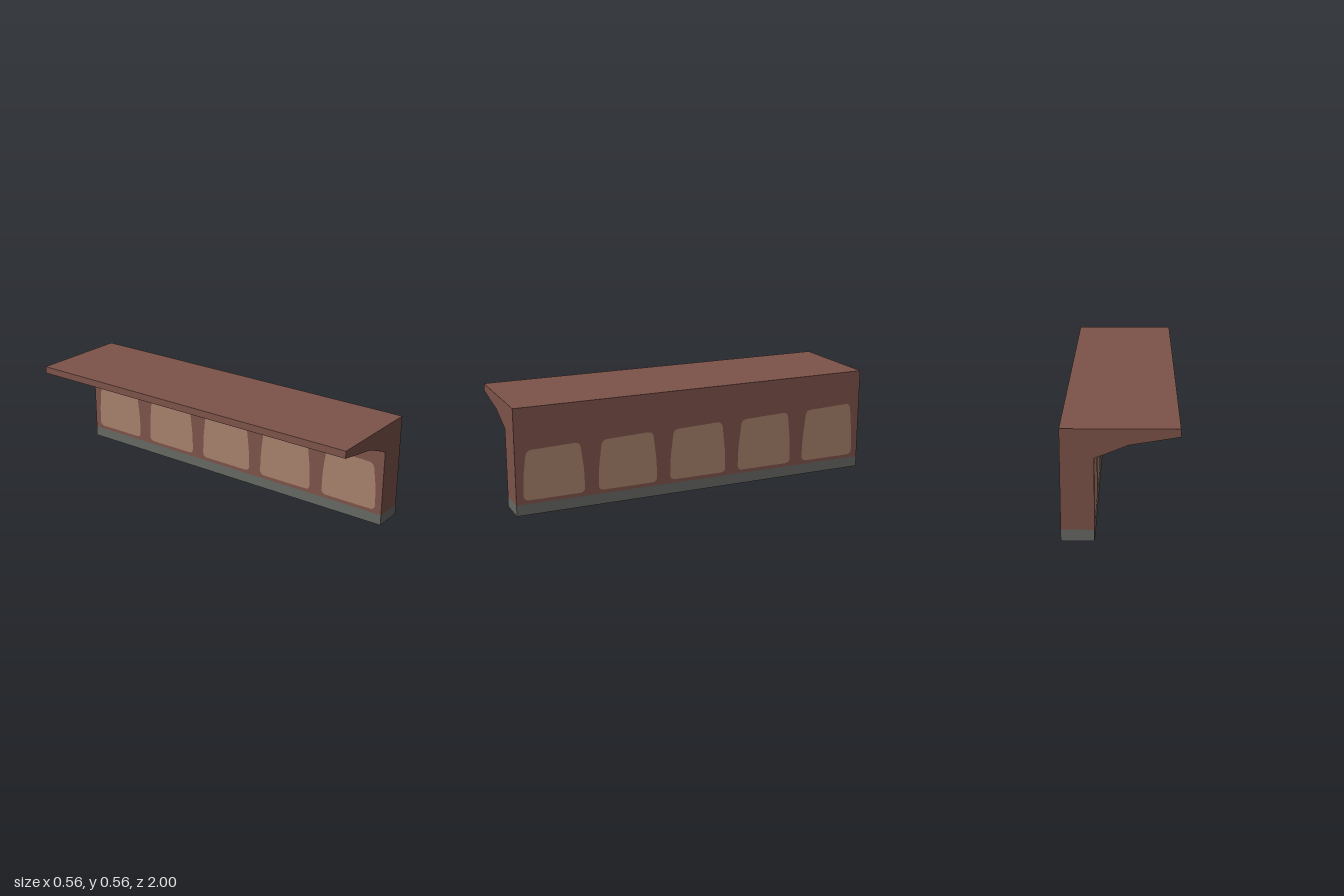
import * as THREE from 'three';

export function createModel() {
  const model = new THREE.Group();
  const mat = (name, color) => new THREE.MeshStandardMaterial({ name, color });
  const brown = mat('reddish brown', 0x7c5249);
  const tan = mat('tan', 0xa6806b);
  const grey = mat('stone grey', 0x666863);

  const outerX = 0.28, innerX = 0.12, halfLength = 1, baseHeight = 0.058, lift = 0.001;

  const add = (name, geometry, material, x, y, z, turn = 0) => {
    const mesh = new THREE.Mesh(geometry, material);
    mesh.name = name;
    mesh.position.set(x, y, z);
    mesh.rotation.y = turn;
    model.add(mesh);
  };

  // Wall with overhanging roof, one constant section along z
  const section = new THREE.Shape([
    [innerX, 0], [outerX, 0], [outerX, 0.56], [-0.28, 0.56],
    [-0.28, 0.521], [-0.04, 0.481], [innerX, 0.416],
  ].map(([x, y]) => new THREE.Vector2(x, y)));
  const wall = new THREE.ExtrudeGeometry(section, { depth: 2 * halfLength, bevelEnabled: false });
  add('wallAndRoof', wall, brown, 0, 0, -halfLength);

  // Rounded polygon: each corner is [u, y, radius]
  const roundedShape = (corners) => {
    const shape = new THREE.Shape();
    const pts = corners.map(([u, y]) => new THREE.Vector2(u, y));
    const n = pts.length;
    pts.forEach((p, i) => {
      const toward = (q) => p.clone().add(q.clone().sub(p).setLength(corners[i][2]));
      const a = toward(pts[(i + n - 1) % n]), b = toward(pts[(i + 1) % n]);
      if (i) shape.lineTo(a.x, a.y); else shape.moveTo(a.x, a.y);
      shape.quadraticCurveTo(p.x, p.y, b.x, b.y);
    });
    shape.closePath();
    return shape;
  };

  // Both long sides: grey base band and five panels that get taller towards the back
  for (const [side, x, dir] of [['outer', outerX + lift, 1], ['inner', innerX - lift, -1]]) {
    const turn = dir * Math.PI / 2;
    add(side + 'BaseBand', new THREE.PlaneGeometry(2 * halfLength, baseHeight), grey, x, baseHeight / 2, 0, turn);
    for (let i = 0; i < 5; i++) {
      const top = 0.344 + i * 0.007, tilt = dir * 0.005;
      const panel = roundedShape([
        [-0.163, 0.077, 0.03], [0.163, 0.077, 0.03], [0.16, 0.2, 0.04],
        [0.141, top + tilt, 0.03], [-0.141, top - tilt, 0.03], [-0.16, 0.2, 0.04],
      ]);
      add(side + 'Panel' + (i + 1), new THREE.ShapeGeometry(panel, 6), tan, x, 0, 0.8 - 0.4 * i, turn);
    }
  }

  // Base band on both ends
  for (const dir of [1, -1]) {
    add(dir > 0 ? 'frontBaseBand' : 'backBaseBand', new THREE.PlaneGeometry(outerX - innerX, baseHeight), grey,
      (outerX + innerX) / 2, baseHeight / 2, dir * (halfLength + lift), dir > 0 ? 0 : Math.PI);
  }
  return model;
}
